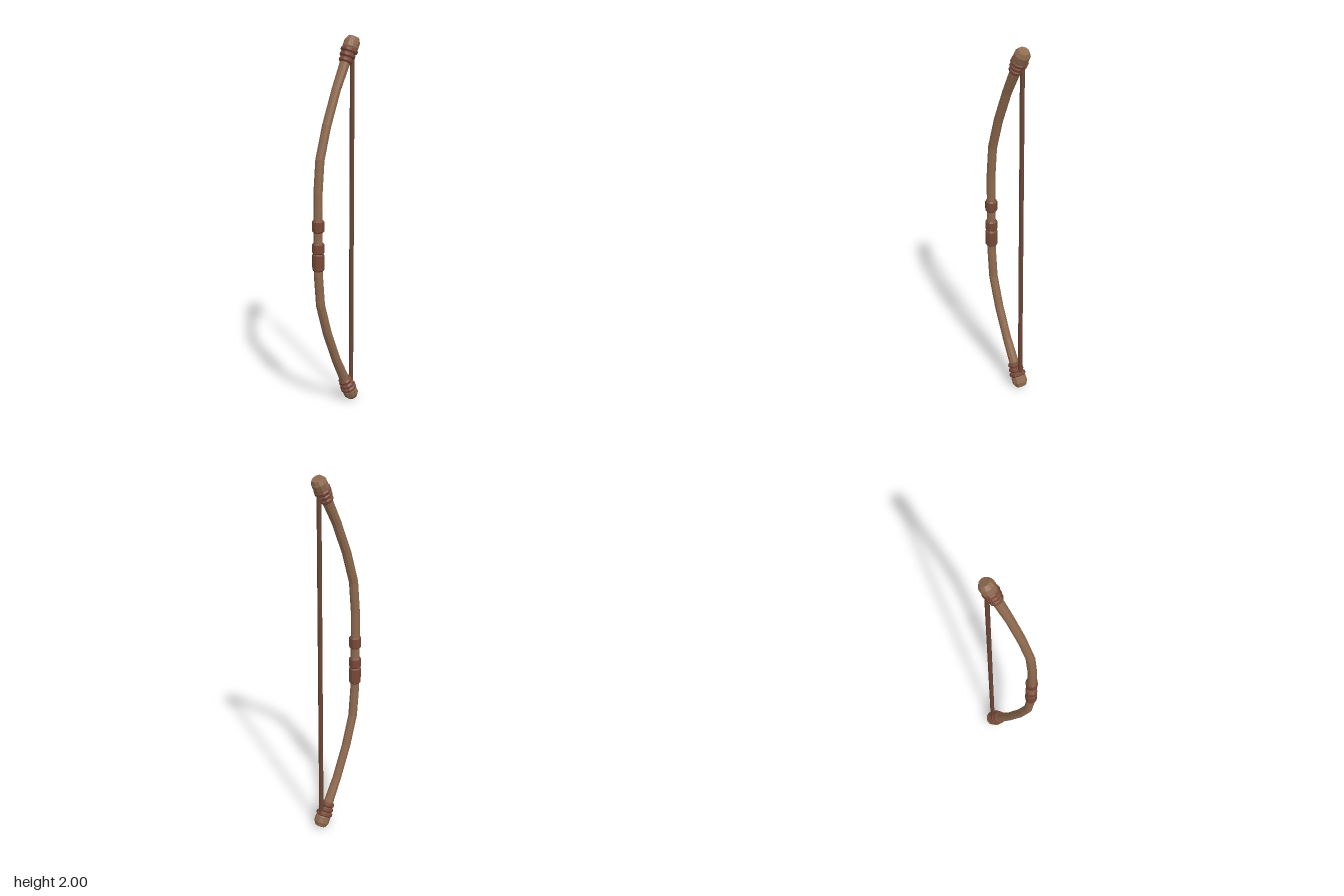
import * as THREE from 'three';

const SIDES = 10;
const material = (color) => new THREE.MeshStandardMaterial({ color, flatShading: true });
const wood = material(0x8f6a4f);
const leather = material(0x784937);
const cord = material(0x6b4636);

// Tube through a planar path of [x, y, radius], with mitred joints
function limbGeometry(path) {
  const pos = [], index = [];
  path.forEach(([x, y, r], i) => {
    const a = path[Math.max(i - 1, 0)], b = path[Math.min(i + 1, path.length - 1)];
    const t = new THREE.Vector2(b[0] - a[0], b[1] - a[1]).normalize();
    for (let j = 0; j < SIDES; j++) {
      const q = (j / SIDES) * Math.PI * 2;
      const u = Math.cos(q) * r;
      pos.push(x + t.y * u, y - t.x * u, Math.sin(q) * r);
      if (i === 0) continue;
      const k = (j + 1) % SIDES, lo = (i - 1) * SIDES, hi = i * SIDES;
      index.push(lo + j, hi + j, lo + k, lo + k, hi + j, hi + k);
    }
  });
  const g = new THREE.BufferGeometry();
  g.setAttribute('position', new THREE.Float32BufferAttribute(pos, 3));
  g.setIndex(index);
  g.computeVertexNormals();
  return g;
}

// Solid turned from [radius, height] pairs, closed at both ends
function turned(name, profile, mat) {
  const pts = [[0, profile[0][1]], ...profile, [0, profile[profile.length - 1][1]]];
  const mesh = new THREE.Mesh(
    new THREE.LatheGeometry(pts.map(([r, y]) => new THREE.Vector2(r, y)), SIDES), mat);
  mesh.name = name;
  return mesh;
}

// Wrapped band with bevelled rims
function band(name, radius, y0, y1) {
  const b = 0.008;
  return turned(name, [[radius - b, y0], [radius, y0 + b], [radius, y1 - b], [radius - b, y1]], leather);
}

// Three stepped bindings and a chamfered knob along the limb's end direction
function makeTip(name) {
  const tip = new THREE.Group();
  tip.name = name;
  for (let i = 0; i < 3; i++) {
    tip.add(band('tipBinding', 0.037 + i * 0.004, i * 0.027, i * 0.027 + 0.028));
  }
  tip.add(turned('tipKnob', [[0.036, 0.075], [0.041, 0.085], [0.041, 0.118], [0.029, 0.141]], wood));
  return tip;
}

export function createModel() {
  const bow = new THREE.Group();
  bow.name = 'bow';

  // Curved limb, the upper half mirrored about y = 1
  const upper = [
    [-0.133, 1.08, 0.024], [-0.132, 1.22, 0.024], [-0.117, 1.39, 0.024], [-0.066, 1.56, 0.024],
    [0.005, 1.735, 0.024], [0.068, 1.86, 0.027], [0.1, 1.92, 0.027],
  ];
  const lower = upper.map(([x, y, r]) => [x, 2 - y, r]).reverse();
  const limb = new THREE.Mesh(limbGeometry([...lower, ...upper]), wood);
  limb.name = 'limb';
  bow.add(limb);

  // Leather bands around the grip
  for (const [y0, y1] of [[1.01, 1.077], [0.895, 0.956], [0.803, 0.898]]) {
    const grip = band('gripBand', 0.032, y0, y1);
    grip.position.x = -0.132;
    bow.add(grip);
  }

  // Tips, the lower one turned to point down
  const lean = Math.atan2(0.066, 0.125);
  for (const s of [1, -1]) {
    const tip = makeTip(s > 0 ? 'upperTip' : 'lowerTip');
    tip.position.set(0.07, 1 + s * 0.862, 0);
    tip.rotation.z = s > 0 ? -lean : Math.PI + lean;
    bow.add(tip);
  }

  // Bowstring
  const string = new THREE.Mesh(new THREE.CylinderGeometry(0.012, 0.012, 1.84, 8), cord);
  string.name = 'bowstring';
  string.position.set(0.125, 1, 0);
  bow.add(string);

  return bow;
}
